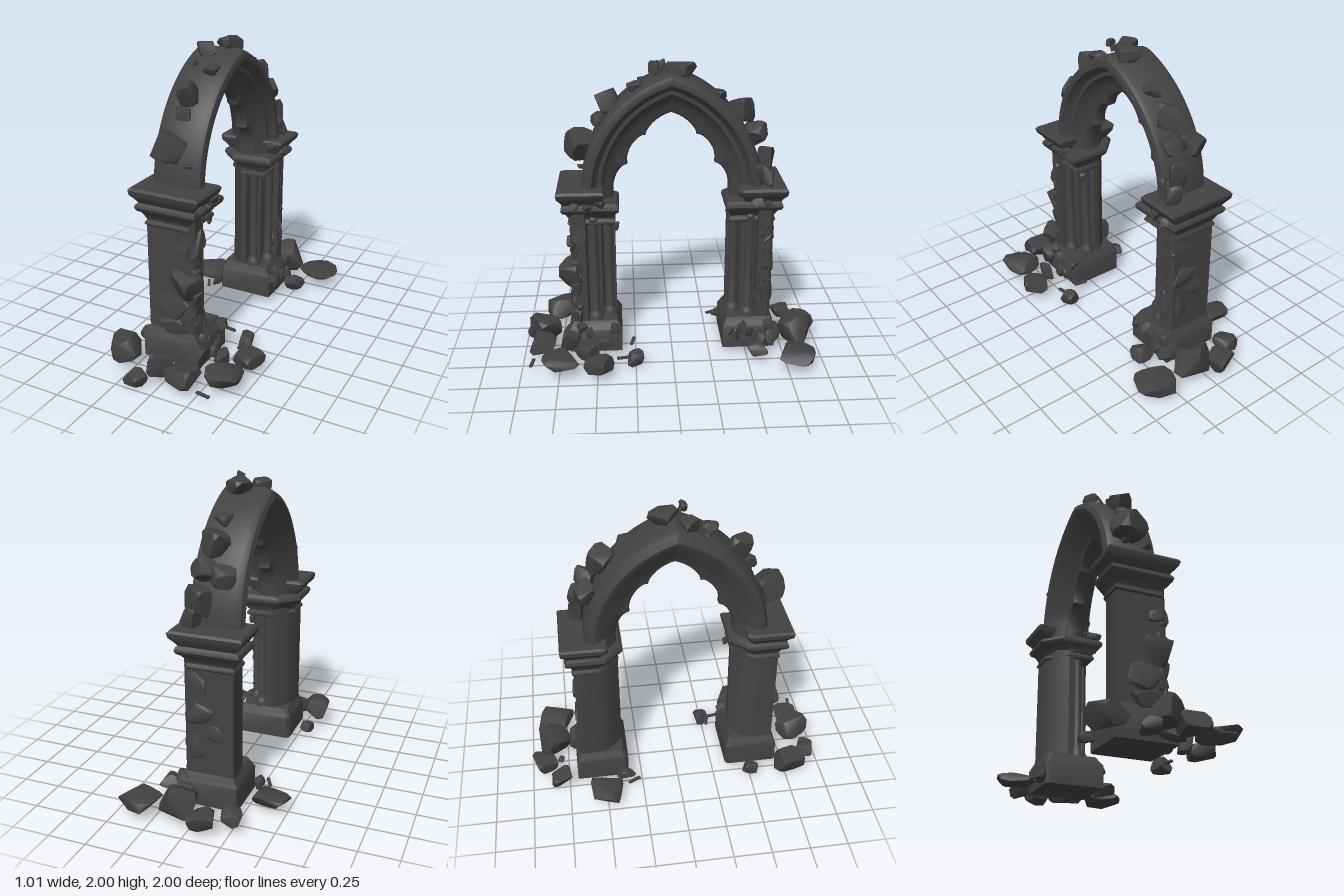
import * as THREE from 'three';
import { mergeVertices, toCreasedNormals } from 'three/addons/utils/BufferGeometryUtils.js';
import { ConvexGeometry } from 'three/addons/geometries/ConvexGeometry.js';

const stone = new THREE.MeshStandardMaterial({ color: 0x424242 });
stone.name = 'dark stone';

function seeded(seed) {
  let s = seed * 7919 + 17;
  return () => {
    s = (s + 0x6d2b79f5) | 0;
    let t = Math.imul(s ^ (s >>> 15), 1 | s);
    t = (t + Math.imul(t ^ (t >>> 7), 61 | t)) ^ t;
    return ((t ^ (t >>> 14)) >>> 0) / 4294967296;
  };
}

// Skin over rings of [x, y, z] points, counter-clockwise seen from the end
function loft(rings, caps, crease = 0.6) {
  const n = rings[0].length, index = [];
  for (let i = 0; i < rings.length - 1; i++) {
    for (let j = 0; j < n; j++) {
      const a = i * n + j, b = i * n + (j + 1) % n;
      index.push(a, b, b + n, a, b + n, a + n);
    }
  }
  if (caps) {
    const top = (rings.length - 1) * n;
    for (let j = 1; j < n - 1; j++) index.push(0, j + 1, j, top, top + j, top + j + 1);
  }
  const g = new THREE.BufferGeometry();
  g.setAttribute('position', new THREE.Float32BufferAttribute(rings.flat(2), 3));
  g.setIndex(index);
  return toCreasedNormals(g, crease);
}

// Stacked moulding: rows of [y, x0, x1, zInner, zOuter] with one inner corner cut off
const stack = (rows, side, cut) => loft(rows.map(([y, x0, x1, zi, zo]) => {
  const ring = [[x0, zo], [x1, zo], [x1, zi], [x0 + cut, zi], [x0, zi + cut]]
    .map(([x, z]) => [x, y, z * side]);
  return side > 0 ? ring : ring.reverse();
}), true);

// Worn boulder that fills the given half sizes
function rock(hx, hy, hz, seed) {
  const rnd = seeded(seed), pts = [];
  const turn = new THREE.Euler(rnd() * 0.8 - 0.4, rnd() * 1.4 - 0.7, rnd() * 0.8 - 0.4);
  for (const x of [-1, 1]) for (const y of [-1, 1]) for (const z of [-1, 1]) {
    const corner = new THREE.Vector3(x, y, z).multiplyScalar(0.65 + rnd() * 0.4);
    for (const axis of ['x', 'y', 'z']) {
      const p = corner.clone();
      p[axis] *= 0.35 + rnd() * 0.35;
      pts.push(p.applyEuler(turn));
    }
  }
  let g = new ConvexGeometry(pts);
  g.deleteAttribute('normal');
  g.computeBoundingBox();
  const c = g.boundingBox.getCenter(new THREE.Vector3()), d = g.boundingBox.getSize(new THREE.Vector3());
  g.translate(-c.x, -c.y, -c.z).scale(2 * hx / d.x, 2 * hy / d.y, 2 * hz / d.z);
  return toCreasedNormals(mergeVertices(g, 1e-5), 0.75);
}

// Half of the pointed arch: moulded section swept along an arc to the apex
function archHalf(side) {
  const C = 0.22, R = 0.8, Y = 1.15, rings = [], steps = 56;
  const cuts = [-0.3, 0.28, 0.66, 1.12], depth = [0.075, 0.035, 0.035];
  const scallop = (t) => {
    const i = cuts.findIndex((c) => t < c) - 1;
    const u = (t - cuts[i]) / (cuts[i + 1] - cuts[i]);
    return 0.28 - depth[i] * Math.pow(Math.sin(Math.PI * u), 0.5);
  };
  for (let k = -1; k <= steps; k++) {
    const t = Math.max(k, 0) / steps, inner = scallop(t);
    const section = [
      [0.055, -0.22], [0.02, -0.205], [0, -0.17], [0, 0.08], [0.015, 0.11], [0.04, 0.12], [0.065, 0.118],
      [0.08, 0.09], [0.1, 0.07], [0.125, 0.07], [0.14, 0.05], [0.165, 0.025], [0.195, 0.01],
      [inner - 0.01, -0.005], [inner, -0.02], [inner, -0.07], [inner - 0.01, -0.085], [0.195, -0.1], [0.09, -0.21],
    ];
    const ring = section.map(([d, x]) => {
      const r = R - d, a = t * Math.acos(C / r);
      return [x, Y + r * Math.sin(a) - (k < 0 ? 0.08 : 0), side * (r * Math.cos(a) - C)];
    });
    rings.push(side > 0 ? ring : ring.reverse());
  }
  return loft(rings, false);
}

// Pier with a rebate for the shafts on one inner corner and a splay on the other
function pierShaft(side) {
  const plan = [[-0.2, 0.66], [0.1, 0.66], [0.12, 0.64], [0.12, 0.56], [0.04, 0.55],
    [0.03, 0.46], [-0.03, 0.45], [-0.04, 0.37], [-0.08, 0.37], [-0.15, 0.43], [-0.2, 0.51]];
  const rings = [0.2, 0.5, 0.8, 1.08].map((y) => {
    const ring = plan.map(([x, z]) => [x, y, z * side]);
    return side > 0 ? ring : ring.reverse();
  });
  return loft(rings, false);
}

export function createModel() {
  const model = new THREE.Group();
  model.name = 'ruinedArch';
  const add = (name, geometry, x = 0, y = 0, z = 0) => {
    const m = new THREE.Mesh(geometry, stone);
    m.name = name;
    m.position.set(x, y, z);
    model.add(m);
    return m;
  };
  const addRocks = (name, rows, seed) => rows.forEach(([x, y, z, hx, hy, hz], i) =>
    add(name + (i + 1), rock(hx, hy, hz, seed + i), x, y, z));

  const columnProfile = [[0, 0.22], [0.05, 0.22], [0.05, 0.28], [0.04, 0.3], [0.028, 0.32], [0.028, 0.96],
    [0.037, 0.97], [0.037, 0.985], [0.028, 1], [0.033, 1.03], [0.052, 1.07], [0, 1.07]]
    .map(([r, y]) => new THREE.Vector2(r, y));

  for (const side of [1, -1]) {
    const end = side > 0 ? 'front' : 'back';
    add(end + 'Arch', archHalf(side));
    add(end + 'Pier', pierShaft(side));
    add(end + 'Base', stack([[0.05, -0.23, 0.16, 0.34, 0.69], [0.2, -0.23, 0.16, 0.34, 0.69],
      [0.215, -0.225, 0.15, 0.35, 0.68], [0.24, -0.21, 0.13, 0.36, 0.67], [0.26, -0.2, 0.12, 0.37, 0.66]], side, 0.02));
    add(end + 'Capital', stack([[0.99, -0.2, 0.09, 0.375, 0.66], [1.03, -0.22, 0.12, 0.36, 0.68],
      [1.045, -0.245, 0.145, 0.345, 0.7], [1.065, -0.255, 0.155, 0.34, 0.71],
      [1.085, -0.25, 0.15, 0.345, 0.705], [1.1, -0.225, 0.13, 0.36, 0.69]], side, 0.12));
    add(end + 'NeckRing', stack([[0.945, -0.2, 0.09, 0.37, 0.66], [0.955, -0.21, 0.1, 0.365, 0.67],
      [0.965, -0.21, 0.1, 0.365, 0.67], [0.98, -0.2, 0.09, 0.37, 0.66]], side, 0.13));
    add(end + 'Abacus', stack([[1.09, -0.225, 0.13, 0.47, 0.69], [1.12, -0.245, 0.15, 0.455, 0.71],
      [1.15, -0.275, 0.18, 0.44, 0.73], [1.18, -0.28, 0.19, 0.435, 0.735], [1.195, -0.27, 0.175, 0.445, 0.725]], side, 0.02));
    for (const [x, z] of [[0.07, 0.51], [0.0, 0.415]]) {
      const column = new THREE.LatheGeometry(columnProfile, 16);
      add(end + 'Column', toCreasedNormals(column, 0.6), x, 0, z * side);
    }

    // Broken masonry on the weathered corner of the pier
    const rnd = seeded(side + 40), rubble = [];
    for (let i = 0; i < 13; i++) {
      rubble.push([0.075 + rnd() * 0.02, 0.3 + i * 0.053, side * (0.585 + rnd() * 0.05),
        0.04 + rnd() * 0.015, 0.035 + rnd() * 0.035, 0.03 + rnd() * 0.02]);
    }
    // Chips around the base and capital
    for (let i = 0; i < 7; i++) {
      rubble.push([0.13 + rnd() * 0.03, 0.09 + rnd() * 0.15, side * (0.38 + i * 0.045), 0.045, 0.045, 0.04]);
      if (i % 2) rubble.push([0.12 + rnd() * 0.03, 1.08 + rnd() * 0.1, side * (0.42 + i * 0.04), 0.05, 0.03, 0.04]);
    }
    addRocks(end + 'Rubble', rubble, 200 + side * 60);
  }

  addRocks('pierStone', [
    [0.06, 0.6, 0.65, 0.1, 0.1, 0.095], [-0.03, 0.42, 0.645, 0.12, 0.1, 0.035], [0.05, 0.82, 0.65, 0.05, 0.04, 0.035],
    [-0.03, 0.3, 0.65, 0.1, 0.06, 0.04], [0.03, 0.42, -0.64, 0.09, 0.1, 0.04], [0.02, 0.66, -0.64, 0.09, 0.09, 0.04],
    [0.04, 0.86, -0.64, 0.07, 0.07, 0.035], [-0.07, 0.53, -0.645, 0.08, 0.07, 0.03], [0.06, 0.92, 0.36, 0.02, 0.03, 0.02],
  ], 10);

  // Loose blocks lying on the back of the arch
  addRocks('archStone', [
    [-0.07, 1.44, 0.59, 0.12, 0.1, 0.095], [-0.05, 1.72, 0.39, 0.065, 0.08, 0.09], [-0.05, 1.61, 0.46, 0.06, 0.04, 0.05],
    [0.01, 1.83, 0.22, 0.05, 0.035, 0.06], [-0.1, 1.91, 0.08, 0.075, 0.05, 0.06], [-0.01, 1.93, -0.06, 0.085, 0.05, 0.1],
    [0.03, 1.97, 0.065, 0.03, 0.035, 0.025], [0.0, 1.77, -0.26, 0.06, 0.035, 0.09], [-0.01, 1.67, -0.44, 0.09, 0.085, 0.09],
    [0.02, 1.52, -0.53, 0.09, 0.085, 0.08], [-0.1, 1.5, -0.55, 0.09, 0.07, 0.07], [0.04, 1.35, -0.6, 0.08, 0.1, 0.06],
    [0.09, 1.26, -0.61, 0.06, 0.07, 0.05], [0.11, 1.3, -0.55, 0.03, 0.04, 0.03],
    [0.05, 1.33, 0.57, 0.03, 0.012, 0.03], [-0.12, 1.84, 0.19, 0.02, 0.02, 0.02], [-0.1, 1.34, 0.57, 0.02, 0.015, 0.03],
  ], 40);

  // Fallen boulders around the feet
  addRocks('fallenRock', [
    [-0.1, 0.1, -0.91, 0.085, 0.05, 0.09], [-0.24, 0.1, -0.8, 0.075, 0.05, 0.07], [0.09, 0.16, -0.83, 0.13, 0.11, 0.11],
    [0.36, 0.1, -0.82, 0.13, 0.05, 0.13], [-0.39, 0.09, -0.5, 0.115, 0.045, 0.11], [0.26, 0.1, -0.56, 0.07, 0.05, 0.07],
    [0.41, 0.1, 0.49, 0.1, 0.05, 0.1], [0.36, 0.11, 0.74, 0.12, 0.055, 0.12], [-0.31, 0.13, 0.77, 0.105, 0.08, 0.105],
    [-0.01, 0.165, 0.86, 0.1, 0.085, 0.11], [0.14, 0.11, 0.87, 0.1, 0.06, 0.09], [-0.14, 0.05, 0.935, 0.075, 0.045, 0.065],
    [0.27, 0.06, 0.25, 0.055, 0.05, 0.055], [0.26, 0.1, 0.57, 0.05, 0.05, 0.08], [-0.32, 0.09, 0.5, 0.045, 0.04, 0.06],
    [-0.26, 0.09, -0.36, 0.035, 0.035, 0.065], [0.11, 0.14, 0.67, 0.1, 0.08, 0.08], [0.12, 0.13, -0.68, 0.08, 0.07, 0.06],
    [-0.07, 0.1, -0.8, 0.025, 0.025, 0.025],
  ], 80);

  // Splinters
  [[0.16, 0.12, 0.27, 0.2], [0.32, 0.07, 0.93, 0.15], [-0.31, 0.07, -0.31, 1.1], [0.27, 0.06, 0.33, 1.4]]
    .forEach(([x, y, z, turn]) => {
      add('splinter', new THREE.BoxGeometry(0.09, 0.012, 0.02), x, y, z).rotation.y = -turn;
    });
  const shard = add('topShard', new THREE.BoxGeometry(0.03, 0.07, 0.02), 0.03, 1.955, 0.05);
  shard.rotation.x = 0.5;
  return model;
}
